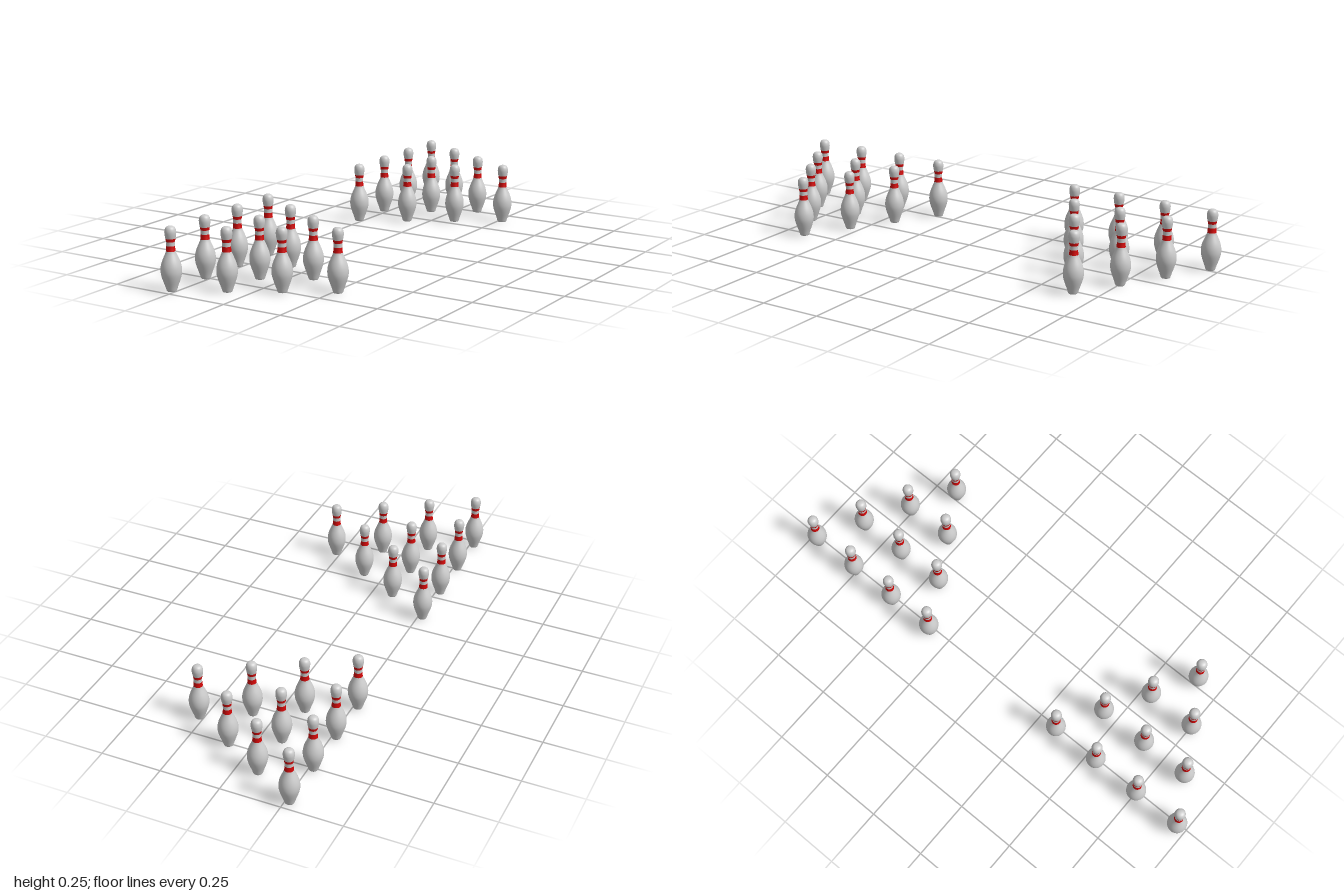
import * as THREE from 'three';

const ivory = new THREE.MeshStandardMaterial({ color: 0xcccccc });
ivory.name = 'pinWhite';
const red = new THREE.MeshStandardMaterial({ color: 0xd40808 });
red.name = 'bandRed';

// Pin silhouette, radius against height
const lowerBody = [[0.0175, 0], [0.0195, 0.004], [0.0245, 0.02], [0.033, 0.044], [0.0385, 0.064], [0.04, 0.08],
  [0.0385, 0.097], [0.0335, 0.115], [0.0265, 0.132], [0.0205, 0.146], [0.018, 0.154]];
const lowerBand = [[0.018, 0.154], [0.0168, 0.164], [0.0163, 0.174]];
const neck = [[0.0163, 0.174], [0.0163, 0.182], [0.0168, 0.19]];
const upperBand = [[0.0168, 0.19], [0.0176, 0.196], [0.0188, 0.202]];
const head = [[0.0188, 0.202], [0.0208, 0.212], [0.022, 0.222], [0.0218, 0.23], [0.0195, 0.239],
  [0.015, 0.2455], [0.008, 0.249], [0, 0.25]];

function turned(points, samples) {
  const curve = new THREE.SplineCurve(points.map(([r, y]) => new THREE.Vector2(r, y)));
  const profile = curve.getPoints(samples);
  profile.forEach(p => { p.x = Math.max(0, p.x); });
  return new THREE.LatheGeometry(profile, 32);
}

const parts = [
  ['body', turned(lowerBody, 24), ivory],
  ['lowerBand', turned(lowerBand, 4), red],
  ['neck', turned(neck, 4), ivory],
  ['upperBand', turned(upperBand, 4), red],
  ['head', turned(head, 18), ivory],
  ['base', new THREE.CircleGeometry(0.0175, 32).rotateX(Math.PI / 2), ivory],
];

function createPin(x, z) {
  const pin = new THREE.Group();
  pin.name = 'pin';
  for (const [name, geometry, material] of parts) {
    const mesh = new THREE.Mesh(geometry, material);
    mesh.name = name;
    pin.add(mesh);
  }
  pin.position.set(x, 0, z);
  return pin;
}

export function createModel() {
  const model = new THREE.Group();
  model.name = 'bowlingPins';
  const rowX = [-0.268, -0.088, 0.088, 0.267];
  const spacing = 0.207;

  // Two triangular racks, each with rows of four, three, two and one
  for (const centreZ of [-0.65, 0.65]) {
    const rack = new THREE.Group();
    rack.name = centreZ < 0 ? 'backRack' : 'frontRack';
    rowX.forEach((x, row) => {
      const count = 4 - row;
      for (let i = 0; i < count; i++) {
        rack.add(createPin(x, centreZ + (i - (count - 1) / 2) * spacing));
      }
    });
    model.add(rack);
  }
  return model;
}
